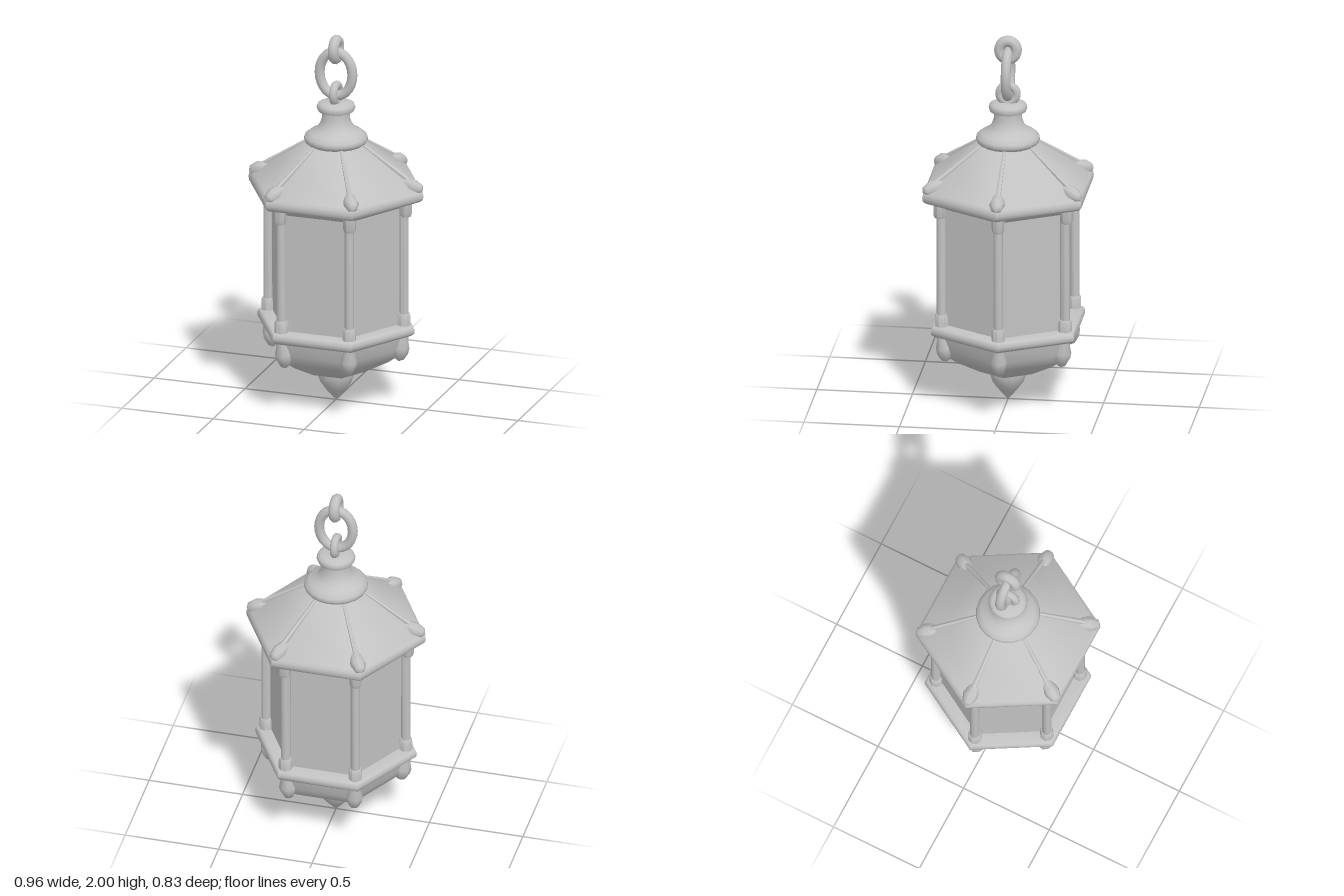
import * as THREE from 'three';
import { toCreasedNormals } from 'three/addons/utils/BufferGeometryUtils.js';

const metal = new THREE.MeshStandardMaterial({ color: 0xc2c2c2 });
metal.name = 'grey metal';

// Lathe from [radius, y] pairs listed bottom to top; six sides put a corner on +x
function turned(name, profile, sides, crease = 0.7) {
  const points = profile.map(([r, y]) => new THREE.Vector2(r, y));
  const geometry = new THREE.LatheGeometry(points, sides, Math.PI / 2);
  const mesh = new THREE.Mesh(toCreasedNormals(geometry, crease), metal);
  mesh.name = name;
  return mesh;
}

// Turned part whose own y axis runs from one [radius, y] point to another, in the xy plane
function turnedAlong(name, from, to, profile, sides) {
  const a = new THREE.Vector3(from[0], from[1], 0);
  const b = new THREE.Vector3(to[0], to[1], 0);
  const dir = b.clone().sub(a);
  const length = dir.length();
  const mesh = turned(name, profile.map(([r, t]) => [r, t * length]), sides, 0.9);
  mesh.position.copy(a);
  mesh.quaternion.setFromUnitVectors(new THREE.Vector3(0, 1, 0), dir.normalize());
  return mesh;
}

// Oval chain link in the xy plane, optionally turned into the yz plane
function link(name, y, halfWidth, halfHeight, tube, sideways) {
  const points = [];
  for (let i = 0; i < 16; i++) {
    const a = (i / 16) * Math.PI * 2;
    points.push(new THREE.Vector3(Math.cos(a) * halfWidth, Math.sin(a) * halfHeight, 0));
  }
  const path = new THREE.CatmullRomCurve3(points, true);
  const mesh = new THREE.Mesh(new THREE.TubeGeometry(path, 24, tube, 10, true), metal);
  mesh.name = name;
  mesh.position.y = y;
  if (sideways) mesh.rotation.y = Math.PI / 2;
  return mesh;
}

// Everything that repeats at each corner of the hexagon
function corner() {
  const group = new THREE.Group();
  group.name = 'corner';

  // Upright post with a socket at either end
  group.add(turned('post', [[0.025, 0], [0.025, 0.72]], 10));
  group.children[0].position.set(0.374, 0.42, 0);
  const foot = turned('postFoot', [[0.036, 0.44], [0.036, 0.505], [0.03, 0.518], [0, 0.52]], 8);
  foot.position.x = 0.373;
  const head = turned('postHead', [[0, 1.05], [0.028, 1.052], [0.034, 1.068], [0.034, 1.15]], 8);
  head.position.x = 0.383;
  group.add(foot, head);

  // Thin ridge down the roof, ending in a pointed knob
  group.add(turnedAlong('roofRidge', [0.14, 1.418], [0.40, 1.247],
    [[0, 0], [0.01, 0], [0.015, 1], [0, 1]], 6));
  group.add(turnedAlong('ridgeKnob', [0.36, 1.24], [0.478, 1.2],
    [[0, 0], [0.024, 0.01], [0.035, 0.25], [0.041, 0.55], [0.027, 0.88], [0, 1]], 8));

  // Drop-shaped claw below the lower rim
  group.add(turnedAlong('claw', [0.345, 0.25], [0.372, 0.41],
    [[0, 0], [0.026, 0.1], [0.043, 0.35], [0.045, 0.52], [0.032, 0.78], [0.03, 1]], 8));
  return group;
}

export function createModel() {
  const model = new THREE.Group();
  model.name = 'lantern';

  // Pointed finial at the base
  model.add(turned('finial', [[0, 0], [0.014, 0.014], [0.055, 0.062], [0.082, 0.1],
    [0.094, 0.135], [0.098, 0.18]], 16, 1));

  // Hexagonal bowl
  model.add(turned('bowl', [[0, 0.168], [0.155, 0.168], [0.285, 0.236], [0.335, 0.272],
    [0.365, 0.32], [0.385, 0.41]], 6));

  // Rounded lower rim
  model.add(turned('lowerRim', [[0.36, 0.398], [0.415, 0.398], [0.43, 0.41], [0.433, 0.43],
    [0.425, 0.448], [0.41, 0.455], [0.32, 0.455]], 6, 0.9));

  // Lantern panes
  model.add(turned('panes', [[0.35, 0.44], [0.353, 1.12]], 6));

  // Roof with rounded eave and sloping underside
  model.add(turned('roof', [[0.35, 1.09], [0.375, 1.105], [0.41, 1.138], [0.462, 1.138],
    [0.477, 1.15], [0.481, 1.17], [0.477, 1.19], [0.462, 1.203], [0.3, 1.312],
    [0.15, 1.415], [0, 1.42]], 6));

  // Bell-shaped cap with a collar
  model.add(turned('cap', [[0, 1.41], [0.145, 1.41], [0.16, 1.42], [0.167, 1.435], [0.163, 1.452],
    [0.14, 1.472], [0.105, 1.49], [0.085, 1.515], [0.073, 1.55], [0.072, 1.582],
    [0.094, 1.59], [0.101, 1.608], [0.095, 1.625], [0.08, 1.633], [0, 1.638]], 20, 0.8));

  // Six repeated corners
  for (let i = 0; i < 6; i++) {
    const c = corner();
    c.rotation.y = (i * Math.PI) / 3;
    model.add(c);
  }

  // Chain
  model.add(link('lowerLink', 1.682, 0.045, 0.045, 0.022, true));
  model.add(link('middleLink', 1.79, 0.09, 0.12, 0.026, false));
  model.add(link('upperLink', 1.922, 0.044, 0.049, 0.029, true));

  return model;
}
